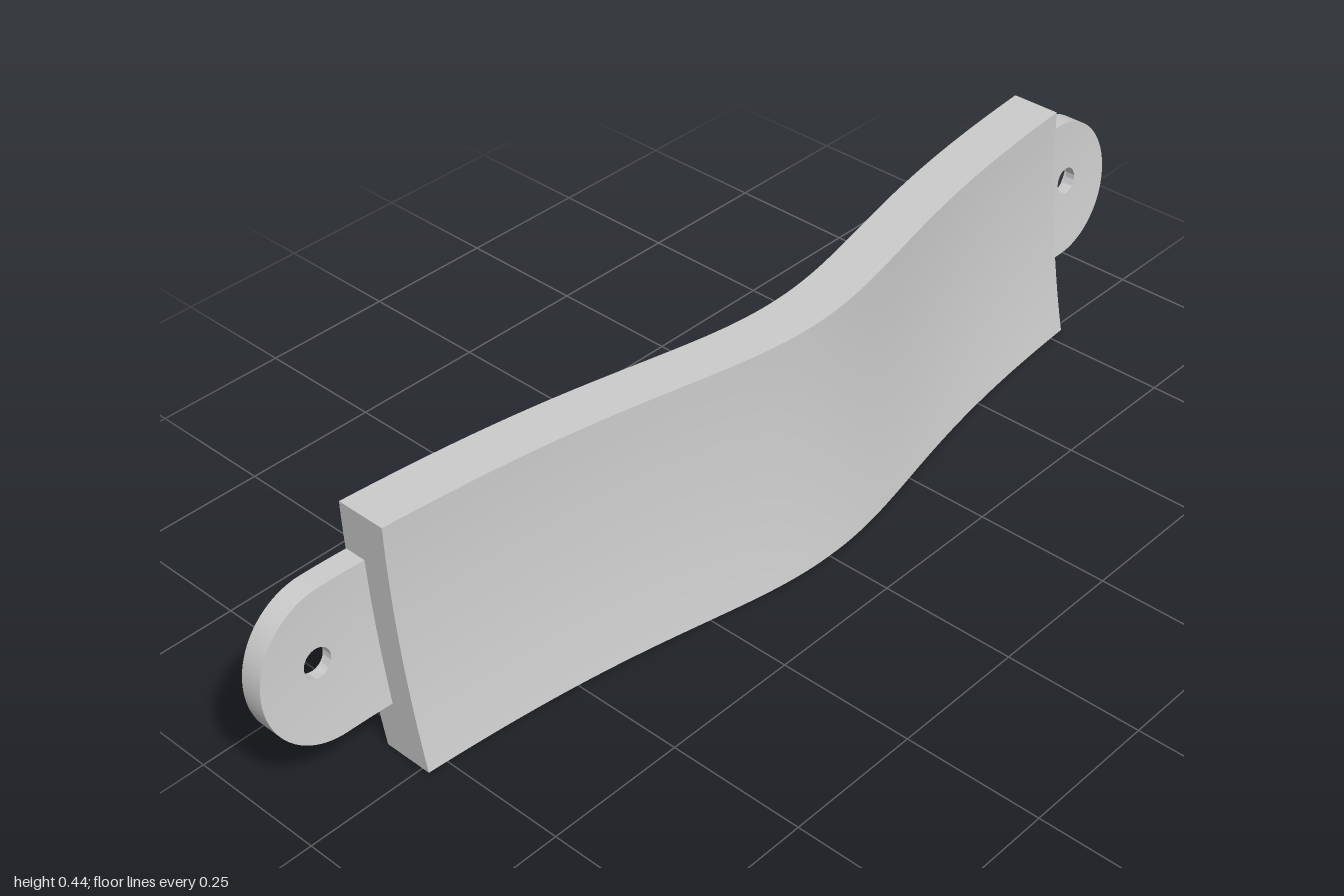
import * as THREE from 'three';
import { toCreasedNormals } from 'three/addons/utils/BufferGeometryUtils.js';

const HEIGHT = 0.445;
const HALF = 0.785;
const THICK = 0.092;

// Forward sweep of the plate towards its lower edge
const flare = (y, amount) => amount * (1 - y / HEIGHT) ** 2;

// Back surface of the bowed plate
function plateBack(x, y) {
  const q = x * x;
  const drop = (0.158 * q) / (q + 0.197);
  return -0.004 - drop + flare(y, 0.038 + 0.008 * Math.min(1, Math.abs(x) / HALF));
}

// Back surface of the mounting ears, x measured outwards
const earBack = (x, y) => -0.125 + 0.3 * (x - 0.88) ** 2 + flare(y, 0.046);

function createPlate() {
  const geo = new THREE.BoxGeometry(2 * HALF, HEIGHT, 1, 80, 16, 1);
  geo.translate(0, HEIGHT / 2, 0.5);
  const p = geo.attributes.position;
  for (let i = 0; i < p.count; i++) {
    p.setZ(i, plateBack(p.getX(i), p.getY(i)) + THICK * p.getZ(i));
  }
  geo.computeVertexNormals();
  return geo;
}

// Rounded ear with a counterbored screw hole, lofted around the hole
function createEar(side) {
  const radius = 0.131, cy = 0.229, cx = 1 - radius, inner = 0.775;
  const hole = new THREE.Vector2(0.893, 0.238);
  const outline = [];
  for (let i = 0; i <= 40; i++) {
    const a = -Math.PI / 2 + (Math.PI * i) / 40;
    outline.push(new THREE.Vector2(cx + radius * Math.cos(a), cy + radius * Math.sin(a)));
  }
  for (let i = 1; i <= 4; i++) outline.push(new THREE.Vector2(cx + ((inner - cx) * i) / 4, cy + radius));
  for (let i = 1; i <= 12; i++) outline.push(new THREE.Vector2(inner, cy + radius - (2 * radius * i) / 12));
  for (let i = 1; i <= 3; i++) outline.push(new THREE.Vector2(inner + ((cx - inner) * i) / 4, cy - radius));

  // Rings: [hole radius, blend towards the outline, height above the back]
  const bore = 0.05, pin = 0.025, top = 0.04, step = 0.021;
  const rings = [];
  for (let i = 0; i <= 4; i++) rings.push([pin, 1 - i / 4, top]);
  rings.push([pin, 0, step], [bore, 0, step]);
  for (let i = 0; i <= 4; i++) rings.push([bore, i / 4, 0]);

  const positions = [], index = [];
  const n = outline.length, m = rings.length;
  for (const [r, blend, h] of rings) {
    for (const o of outline) {
      const q = o.clone().sub(hole).setLength(r).add(hole).lerp(o, blend);
      positions.push(side * q.x, q.y, earBack(q.x, q.y) + h);
    }
  }
  for (let j = 0; j < m; j++) {
    for (let i = 0; i < n; i++) {
      const a = j * n + i, b = j * n + ((i + 1) % n);
      const c = ((j + 1) % m) * n + i, d = ((j + 1) % m) * n + ((i + 1) % n);
      if (side > 0) index.push(a, b, c, b, d, c);
      else index.push(a, c, b, b, c, d);
    }
  }
  const geo = new THREE.BufferGeometry();
  geo.setAttribute('position', new THREE.Float32BufferAttribute(positions, 3));
  geo.setIndex(index);
  return toCreasedNormals(geo, 0.6);
}

export function createModel() {
  const group = new THREE.Group();
  group.name = 'curvedPlateBracket';
  const material = new THREE.MeshStandardMaterial({ color: 0xcccccc });
  const add = (name, geo) => {
    const mesh = new THREE.Mesh(geo, material);
    mesh.name = name;
    group.add(mesh);
  };
  add('curvedPlate', createPlate());
  add('leftMountingEar', createEar(1));
  add('rightMountingEar', createEar(-1));
  return group;
}
